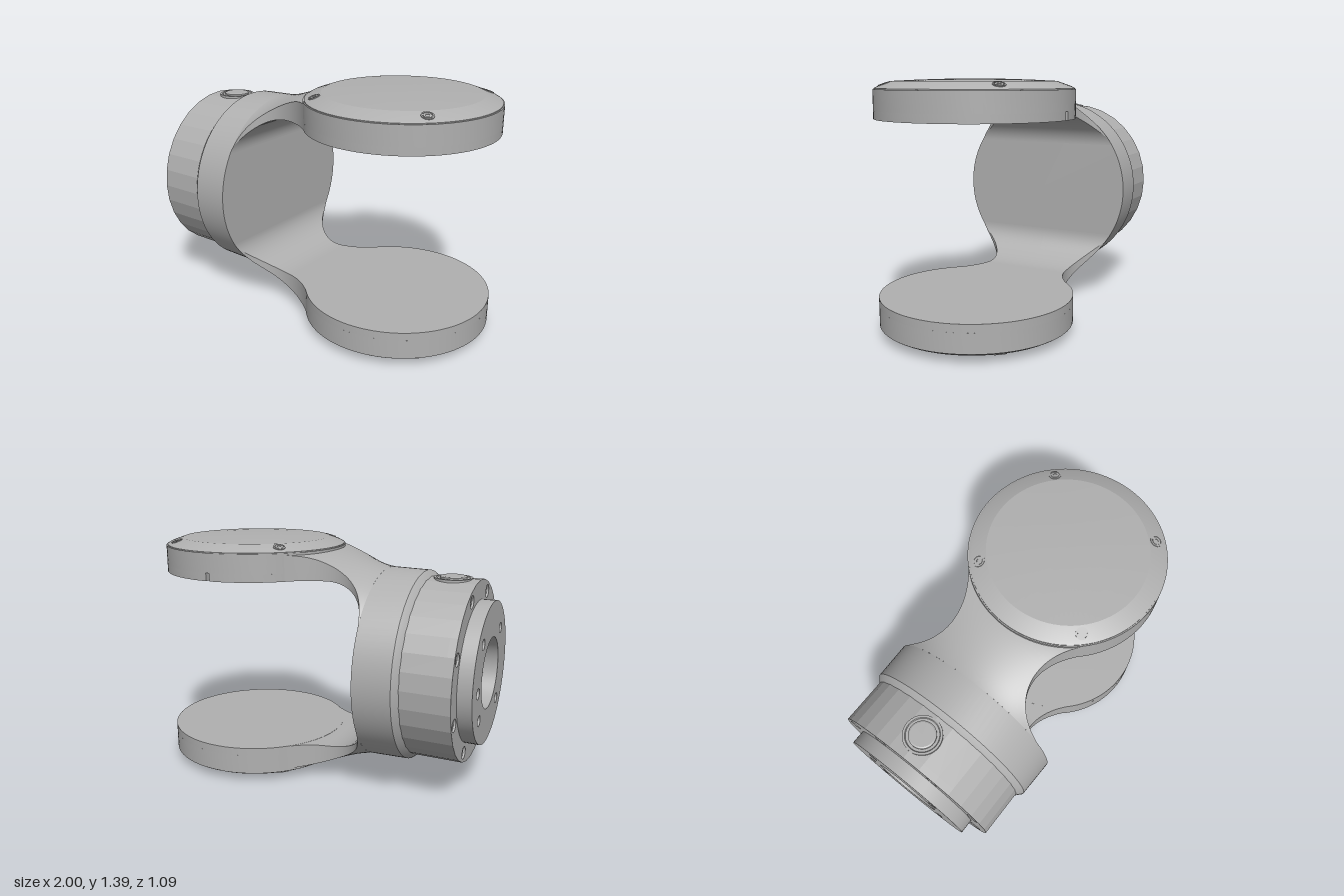
import * as THREE from 'three';
import { toCreasedNormals } from 'three/addons/utils/BufferGeometryUtils.js';

const grey = new THREE.MeshStandardMaterial({ color: 0xb0b0b0 });
grey.name = 'machined grey';

function add(parent, name, geometry) {
  const mesh = new THREE.Mesh(geometry, grey);
  mesh.name = name;
  parent.add(mesh);
  return mesh;
}

// Turned part about y; profile is [radius, height] from bottom to top
function turned(profile, sides = 96, crease = 0.25) {
  const points = profile.map(([r, h]) => new THREE.Vector2(r, h));
  return toCreasedNormals(new THREE.LatheGeometry(points, sides), crease);
}

// The same, turned about the x axis
const turnedX = (...args) => turned(...args).rotateZ(-Math.PI / 2);

// Round plate facing -x, drilled with [z, y, radius] holes
function drilledPlate(radius, holes, x, depth, segments, crease) {
  const shape = new THREE.Shape().absarc(0, 0, radius, 0, Math.PI * 2);
  for (const [z, y, r] of holes) {
    shape.holes.push(new THREE.Path().absarc(-z, y, r, 0, Math.PI * 2, true));
  }
  const g = new THREE.ExtrudeGeometry(shape, { depth, bevelEnabled: false, curveSegments: segments });
  return toCreasedNormals(g.rotateY(Math.PI / 2).translate(x, 0, 0), crease);
}

// Smooth patch from a function of u and v
function patch(fn, nu, nv) {
  const g = new THREE.PlaneGeometry(1, 1, nu, nv);
  const p = g.attributes.position;
  for (let i = 0; i < p.count; i++) p.setXYZ(i, ...fn(p.getX(i) + 0.5, p.getY(i) + 0.5));
  g.computeVertexNormals();
  return g;
}

const screwGeometry = turned([
  [0, -0.012], [0.034, -0.012], [0.034, 0.004], [0.027, 0.004], [0.027, 0.001],
  [0.022, 0.001], [0.022, 0.004], [0.011, 0.004], [0.011, 0.001], [0, 0.001],
], 24, 0.5);

function addScrew(parent, name, position, direction) {
  const screw = add(parent, name, screwGeometry);
  screw.position.copy(position);
  screw.quaternion.setFromUnitVectors(new THREE.Vector3(0, 1, 0), direction.normalize());
}

// Neck sections along x, measured from the main axis
const outerY = (x) => 0.545 + 0.094 * THREE.MathUtils.smoothstep(x, -0.42, 0.02);
const innerY = (x) => 0.286 + 0.2 * Math.sqrt(1 - Math.min(1, Math.max(0, (-0.13 - x) / 0.27)) ** 2);
function halfWidth(x) {
  const d = x + 0.18;
  const w = d < 0 ? 0.487 - Math.sqrt(Math.max(0, 0.22 ** 2 - d * d)) : 0.267 + 1.7 * d * d;
  return Math.min(w, Math.sqrt(outerY(x) ** 2 - innerY(x) ** 2));
}
// Round section near the collar, flattening towards the disc
function topY(x, z) {
  const r = outerY(x);
  const round = Math.max(0, 1 - (x + 0.4) / 0.5);
  return r - round * (r - Math.sqrt(r * r - z * z));
}
const along = (u) => -0.4 + 0.5 * u * u;

function makeArm(name, notched) {
  const arm = new THREE.Group();
  arm.name = name;

  // Neck: outer skin, inner skin and two sides
  add(arm, 'neckOuter', patch((u, v) => {
    const x = along(u), z = halfWidth(x) * (1 - 2 * v);
    return [x, topY(x, z), z];
  }, 40, 24));
  add(arm, 'neckInner', patch((u, v) => {
    const x = along(u);
    return [x, innerY(x), halfWidth(x) * (2 * v - 1)];
  }, 40, 2));
  for (const side of [1, -1]) {
    add(arm, 'neckSide', patch((u, v) => {
      const x = along(u), w = halfWidth(x), t = side > 0 ? v : 1 - v;
      return [x, THREE.MathUtils.lerp(innerY(x), topY(x, w), t), side * w];
    }, 40, 3));
  }

  // Disc, with a small alignment notch in one rim
  const disc = new THREE.Group();
  disc.name = 'disc';
  disc.position.x = 0.46;
  arm.add(disc);
  const d = 0.02, start = Math.PI / 2 + d;
  const outline = new THREE.Shape().absarc(0, 0, 0.54, start, start + Math.PI * 2 - (notched ? 2 * d : 0));
  if (notched) outline.lineTo(0.011, 0.505).lineTo(-0.011, 0.505);
  const lower = new THREE.ExtrudeGeometry(outline, { depth: 0.045, bevelEnabled: false, curveSegments: 48 });
  add(disc, 'discInnerLayer', toCreasedNormals(lower.rotateX(-Math.PI / 2).translate(0, 0.485, 0), 0.5));
  add(disc, 'discOuterLayer', turned([[0, 0.53], [0.54, 0.53], [0.54, 0.64], [0, 0.64]]));

  // Domed cover and its screws
  add(disc, 'cover', turned([
    [0, 0.63], [0.533, 0.63], [0.533, 0.645], [0.515, 0.655], [0.44, 0.682],
    [0.3, 0.689], [0.15, 0.6935], [0, 0.695],
  ]));
  for (const sx of [1, -1]) for (const sz of [1, -1]) {
    addScrew(disc, 'coverScrew', new THREE.Vector3(sx * 0.34, 0.667, sz * 0.34),
      new THREE.Vector3(sx * 0.24, 1, sz * 0.24));
  }
  return arm;
}

export function createModel() {
  const model = new THREE.Group();
  model.name = 'forkBracket';
  const body = new THREE.Group();
  body.name = 'body';
  body.position.y = 0.695;
  model.add(body);

  // Mounting flange with central bore, four bolt holes and a dowel hole
  const bore = [0, 0, 0.2];
  const flangeHoles = [bore, [-0.27, -0.04, 0.03]];
  for (const z of [0.21, -0.21]) for (const y of [0.21, -0.21]) flangeHoles.push([z, y, 0.03]);
  add(body, 'mountingFlange', drilledPlate(0.4, flangeHoles, -1, 0.08, 40, 0.5));

  // Faceted base ring with eight recessed screws
  const ringHoles = [bore];
  for (let i = 0; i < 8; i++) {
    const a = (i + 0.5) * Math.PI / 4;
    const z = 0.455 * Math.cos(a), y = 0.455 * Math.sin(a);
    ringHoles.push([z, y, 0.036]);
    addScrew(body, 'ringScrew', new THREE.Vector3(-0.905, y, z), new THREE.Vector3(-1, 0, 0));
  }
  add(body, 'baseFace', drilledPlate(0.51, ringHoles, -0.92, 0.04, 16, 0.05));
  add(body, 'baseRing', turnedX([[0, -0.88], [0.51, -0.88], [0.51, -0.64], [0, -0.64]], 32, 0.05));

  // Round button on top, flat plug below
  const button = add(body, 'button', turned([
    [0, 0.46], [0.105, 0.46], [0.105, 0.514], [0.092, 0.514], [0.088, 0.51],
    [0.074, 0.51], [0.074, 0.519], [0.065, 0.523], [0, 0.523],
  ], 40));
  button.position.x = -0.77;
  const plug = add(body, 'plug', new THREE.CylinderGeometry(0.1, 0.1, 0.05, 40));
  plug.position.set(-0.77, -0.486, 0);

  // Collar
  add(body, 'collar', turnedX([
    [0, -0.65], [0.505, -0.65], [0.515, -0.643], [0.54, -0.615], [0.545, -0.4], [0, -0.4],
  ]));

  // Two mirrored arms
  body.add(makeArm('upperArm', true));
  const lowerArm = makeArm('lowerArm', false);
  lowerArm.rotation.x = Math.PI;
  body.add(lowerArm);

  return model;
}
